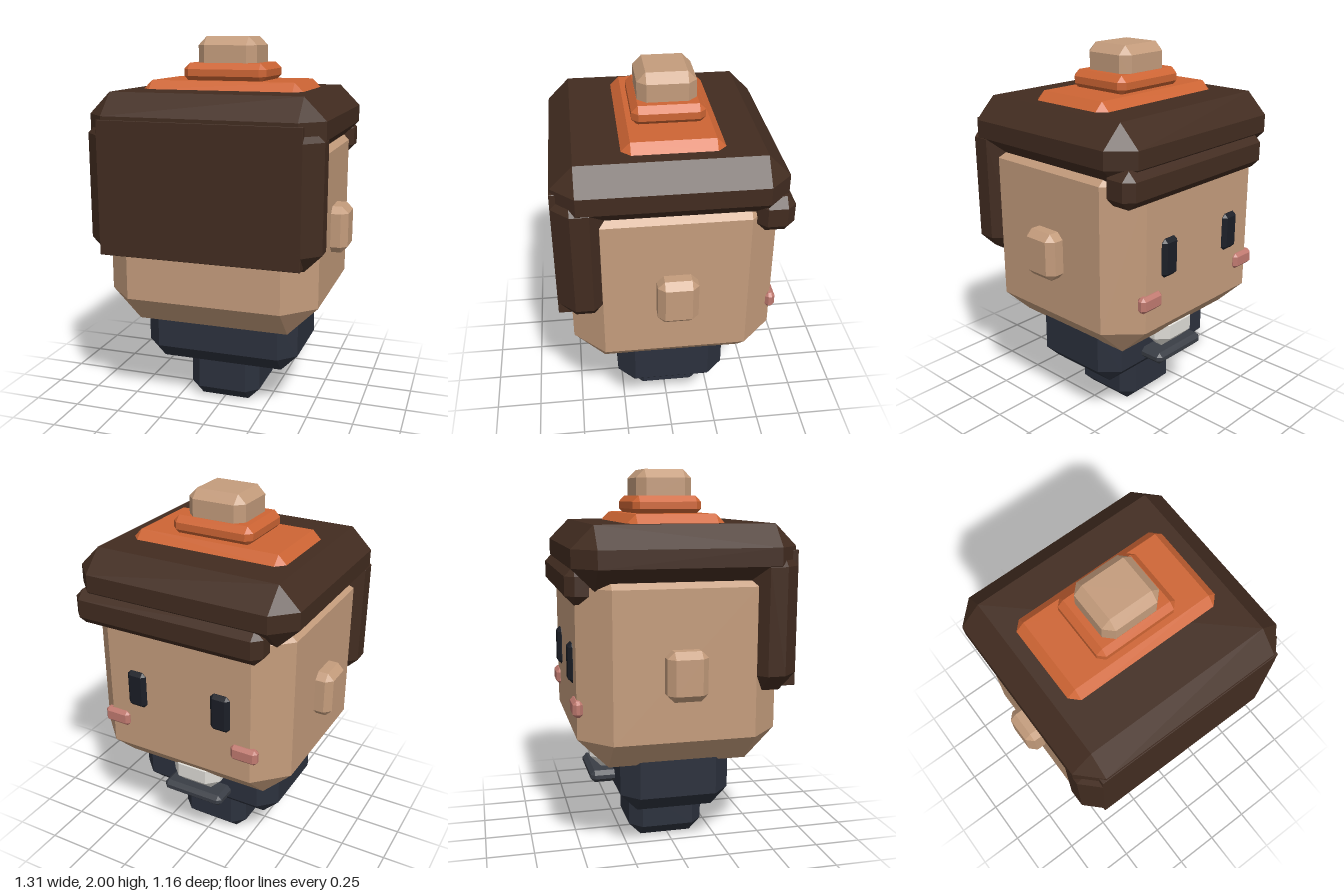
import * as THREE from 'three';
import { ConvexGeometry } from 'three/addons/geometries/ConvexGeometry.js';

const material = (color) => new THREE.MeshStandardMaterial({ color, flatShading: true });

// Box between two corners with every edge bevelled by c
function bevelBox([x0, x1], [y0, y1], [z0, z1], c) {
  const center = new THREE.Vector3((x0 + x1) / 2, (y0 + y1) / 2, (z0 + z1) / 2);
  const half = [(x1 - x0) / 2, (y1 - y0) / 2, (z1 - z0) / 2];
  const points = [];
  for (const sx of [-1, 1]) for (const sy of [-1, 1]) for (const sz of [-1, 1])
    for (let axis = 0; axis < 3; axis++) {
      const [hx, hy, hz] = half.map((h, i) => (i === axis ? h : h - c));
      points.push(new THREE.Vector3(sx * hx, sy * hy, sz * hz).add(center));
    }
  return new ConvexGeometry(points);
}

export function createModel() {
  const group = new THREE.Group();
  const skin = material(0xc49c7c);
  const hair = material(0x422c20);
  const orange = material(0xce6534);
  const navy = material(0x2c313d);
  const black = material(0x1b1e26);
  const pink = material(0xc07a70);
  const white = material(0xdedcd6);
  const slate = material(0x3a3e46);

  const add = (name, mat, x, y, z, c) => {
    const mesh = new THREE.Mesh(bevelBox(x, y, z, c), mat);
    mesh.name = name;
    group.add(mesh);
  };
  // The same part on both sides of x = 0
  const addPair = (name, mat, [a, b], y, z, c) => {
    add(name + 'Left', mat, [a, b], y, z, c);
    add(name + 'Right', mat, [-b, -a], y, z, c);
  };

  // Body
  add('lowerBody', navy, [-0.2, 0.2], [0, 0.34], [-0.215, 0.195], 0.065);
  add('upperBody', navy, [-0.43, 0.43], [0.23, 0.62], [-0.3, 0.285], 0.09);

  // Head, its face towards -z
  add('head', skin, [-0.57, 0.57], [0.503, 1.585], [-0.53, 0.515], 0.158);
  addPair('ear', skin, [0.5, 0.657], [0.88, 1.13], [-0.115, 0.09], 0.035);
  addPair('eye', black, [0.19, 0.3], [0.925, 1.13], [-0.553, -0.48], 0.02);
  addPair('cheek', pink, [0.305, 0.455], [0.782, 0.868], [-0.553, -0.5], 0.018);

  // Hair
  add('hairCap', hair, [-0.612, 0.612], [1.415, 1.73], [-0.555, 0.575], 0.112);
  add('hairBack', hair, [-0.525, 0.525], [0.91, 1.6], [0.38, 0.58], 0.002);
  addPair('hairSide', hair, [0.345, 0.612], [0.892, 1.61], [0.315, 0.58], 0.087);
  add('fringe', hair, [-0.475, 0.588], [1.345, 1.53], [-0.58, -0.395], 0.045);

  // Stacked top ornament
  add('topPlate', orange, [-0.432, 0.432], [1.6, 1.775], [-0.263, 0.236], 0.045);
  add('topRing', orange, [-0.225, 0.225], [1.765, 1.865], [-0.195, 0.168], 0.032);
  add('topKnob', skin, [-0.16, 0.16], [1.8, 2], [-0.16, 0.135], 0.045);

  // Cup and tray held in front of the body
  add('cup', white, [-0.145, 0.145], [0.4, 0.6], [-0.42, -0.26], 0.06);
  add('tray', slate, [-0.18, 0.18], [0.335, 0.4], [-0.43, -0.25], 0.022);

  return group;
}
